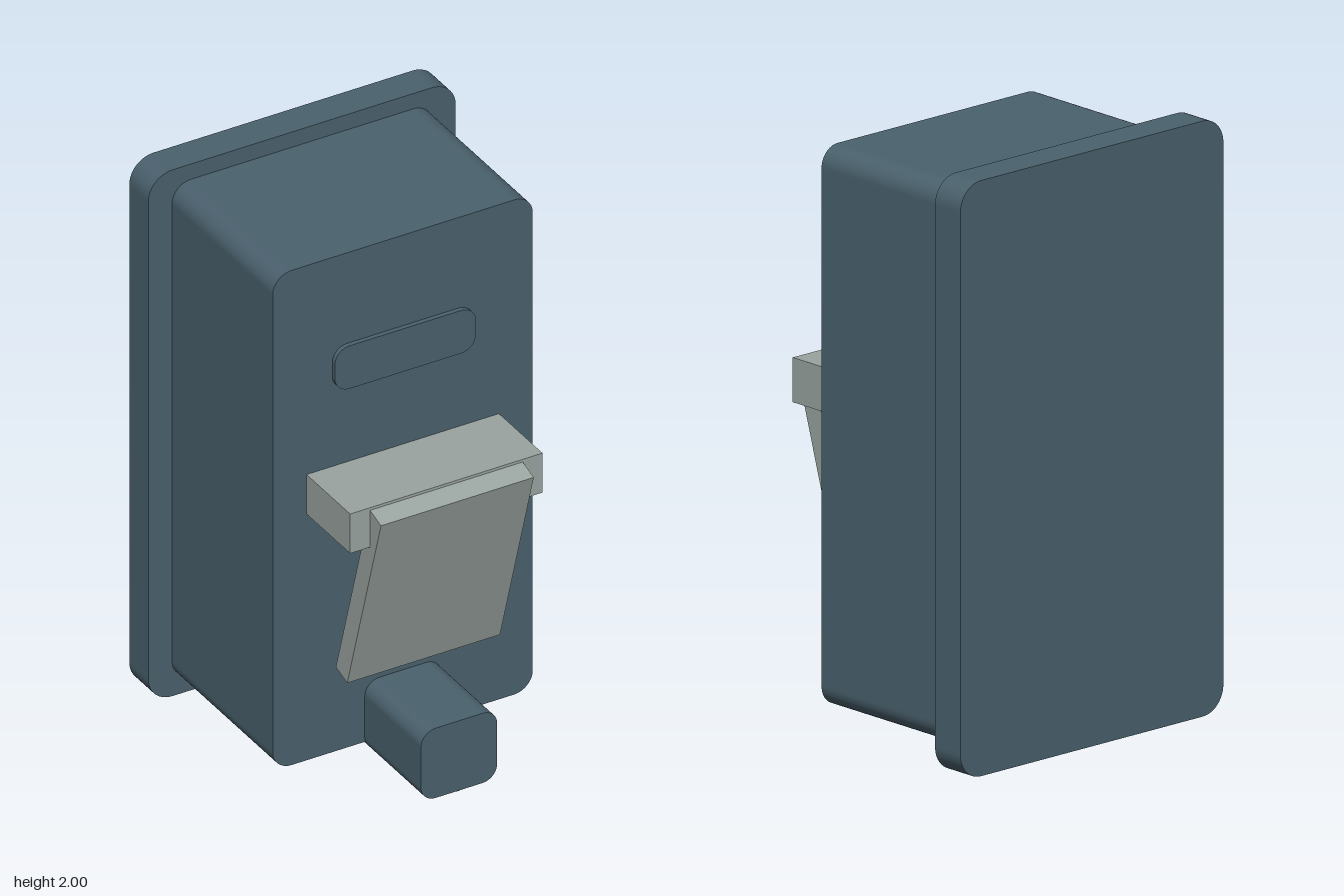
import * as THREE from 'three';

// Rounded upright slab, given by half width, bottom, top, back, front and corner radius
function roundedSlab(name, hw, y0, y1, z0, z1, r, material) {
  const s = new THREE.Shape();
  s.moveTo(-hw + r, y0);
  s.lineTo(hw - r, y0);
  s.absarc(hw - r, y0 + r, r, -Math.PI / 2, 0);
  s.lineTo(hw, y1 - r);
  s.absarc(hw - r, y1 - r, r, 0, Math.PI / 2);
  s.lineTo(-hw + r, y1);
  s.absarc(-hw + r, y1 - r, r, Math.PI / 2, Math.PI);
  s.lineTo(-hw, y0 + r);
  s.absarc(-hw + r, y0 + r, r, Math.PI, Math.PI * 1.5);
  const geo = new THREE.ExtrudeGeometry(s, { depth: z1 - z0, bevelEnabled: false, curveSegments: 6 });
  const mesh = new THREE.Mesh(geo, material);
  mesh.name = name;
  mesh.position.z = z0;
  return mesh;
}

function box(name, w, h, d, material) {
  const mesh = new THREE.Mesh(new THREE.BoxGeometry(w, h, d), material);
  mesh.name = name;
  return mesh;
}

export function createModel() {
  const group = new THREE.Group();
  group.name = 'wallDispenser';
  const slate = new THREE.MeshStandardMaterial({ color: 0x4a616d });
  slate.name = 'slate blue';
  const grey = new THREE.MeshStandardMaterial({ color: 0x9aa4a0 });
  grey.name = 'pale grey';

  // Housing, front panel and spout
  group.add(
    roundedSlab('backPlate', 0.573, 0, 2, -0.555, -0.435, 0.09, slate),
    roundedSlab('body', 0.485, 0.062, 1.942, -0.435, 0.2, 0.07, slate),
    roundedSlab('frontPanel', 0.263, 1.435, 1.598, 0.2, 0.217, 0.055, slate),
    roundedSlab('spout', 0.142, 0.025, 0.29, 0.083, 0.555, 0.055, slate)
  );

  // Round outlet under the spout
  const outlet = new THREE.Mesh(new THREE.CylinderGeometry(0.07, 0.07, 0.02, 24), slate);
  outlet.name = 'outlet';
  outlet.position.set(0, 0.03, 0.48);
  group.add(outlet);

  // Hinge block holding the tilted push lever
  const hinge = box('hingeBlock', 0.718, 0.15, 0.275, grey);
  hinge.position.set(0, 1.073, 0.3375);
  const lever = box('pushLever', 0.57, 0.745, 0.075, grey);
  lever.position.set(0, 0.771, 0.402);
  lever.rotation.x = 0.29;
  group.add(hinge, lever);

  return group;
}
